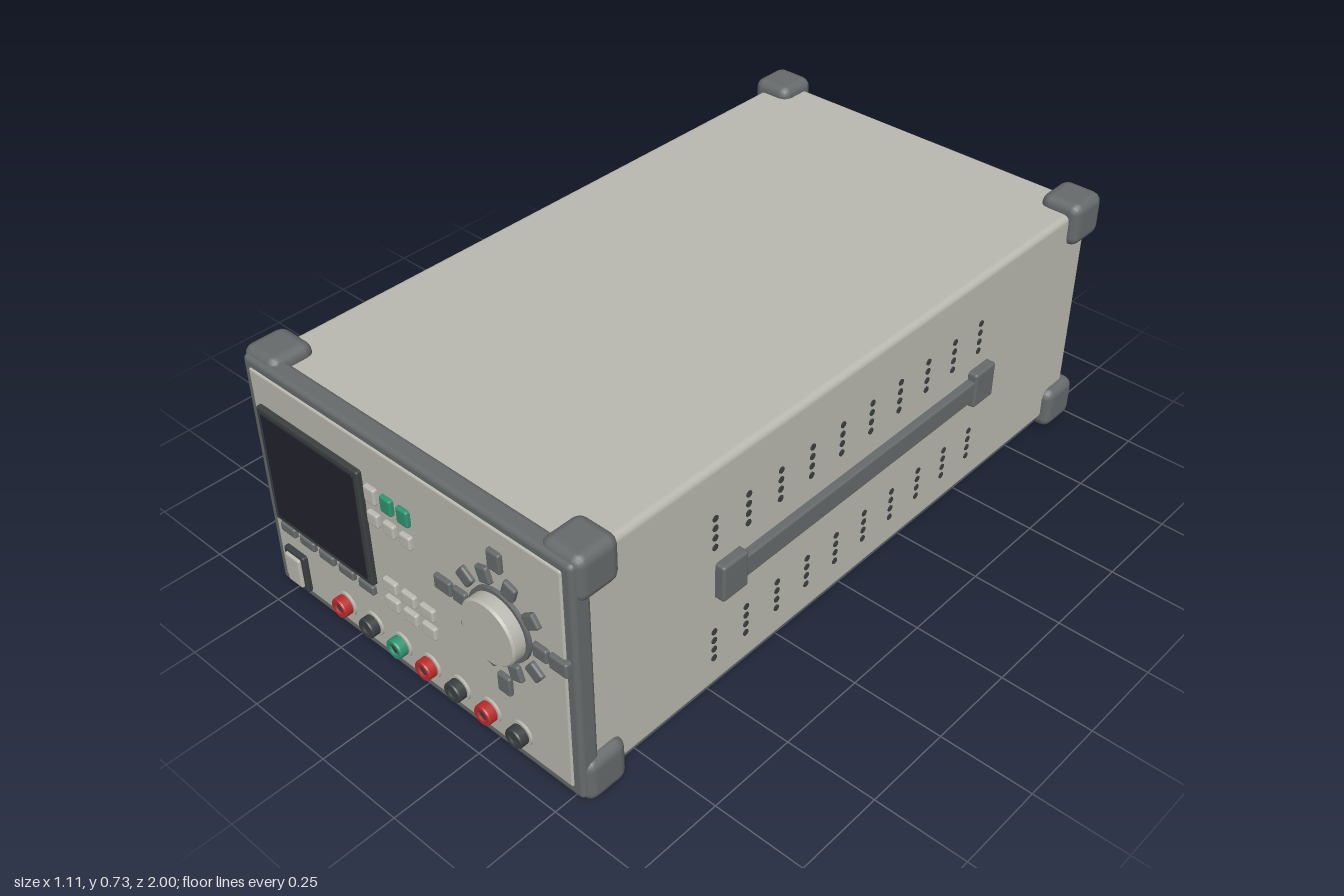
import * as THREE from 'three';
import { RoundedBoxGeometry } from 'three/addons/geometries/RoundedBoxGeometry.js';

const mat = (name, color) => new THREE.MeshStandardMaterial({ name, color });

export function createModel() {
  const M = {
    case: mat('warm grey case', 0xbab9b0),
    grey: mat('dark grey trim', 0x666a6b),
    black: mat('black rubber', 0x3a3f40),
    screen: mat('screen glass', 0x22222c),
    green: mat('green', 0x2f9470),
    red: mat('red', 0xbc2c2c),
  };
  const root = new THREE.Group();
  root.name = 'benchPowerSupply';
  const FACE = 0.955; // front panel surface

  const add = (name, geo, material, x = 0, y = 0, z = 0, parent = root) => {
    const m = new THREE.Mesh(geo, material);
    m.name = name;
    m.position.set(x, y, z);
    parent.add(m);
    return m;
  };
  // Rounded box given by its size, centre and edge radius
  const rbox = (name, material, w, h, d, x, y, z, r = 0.006, parent = root) =>
    add(name, new RoundedBoxGeometry(w, h, d, 2, r), material, x, y, z, parent);
  // Key on the front panel, half sunk so that it stands proud by `out`
  const key = (name, material, x, y, w, h, out = 0.012) =>
    rbox(name, material, w, h, out * 2, x, y, FACE);
  // Lathe turned to face the front
  const turned = (name, material, pts, x, y, z, parent = root) => {
    const g = new THREE.LatheGeometry(pts.map(p => new THREE.Vector2(p[0], p[1])), 32);
    g.rotateX(Math.PI / 2);
    return add(name, g, material, x, y, z, parent);
  };
  // Solid stud with crisp edges
  const stud = (name, material, r, z0, z1, x, y, parent = root) => {
    const g = new THREE.CylinderGeometry(r, r, z1 - z0, 32);
    g.rotateX(Math.PI / 2);
    return add(name, g, material, x, y, (z0 + z1) / 2, parent);
  };

  // Case, front bezel and panel
  rbox('case', M.case, 1.056, 0.665, 1.885, 0, 0.3675, -0.0325, 0.018);
  rbox('frontBezel', M.grey, 1.08, 0.696, 0.055, 0, 0.368, 0.9225, 0.014);
  rbox('frontPanel', M.case, 1.026, 0.642, 0.03, 0, 0.371, FACE - 0.015);

  // Corner bumpers and feet
  for (const x of [-1, 1]) {
    for (const z of [0.88, -0.938]) {
      for (const y of [0.068, 0.669]) {
        rbox('cornerBumper', M.grey, 0.122, 0.126, 0.124, x * 0.493, y, z, 0.028);
      }
    }
    for (const z of [0.6, -0.648]) {
      rbox('foot', M.black, 0.11, 0.05, 0.125, x * 0.357, 0.025, z, 0.01);
    }
  }

  // Side handles and vent holes
  const ventGeo = new THREE.CylinderGeometry(0.009, 0.009, 0.006, 10);
  ventGeo.rotateZ(Math.PI / 2);
  for (const s of [-1, 1]) {
    const side = new THREE.Group();
    side.name = s > 0 ? 'leftSide' : 'rightSide';
    root.add(side);
    rbox('handleBar', M.grey, 0.03, 0.062, 0.98, s * 0.535, 0.366, -0.024, 0.006, side);
    for (const z of [0.463, -0.511]) {
      rbox('handleMount', M.grey, 0.05, 0.105, 0.086, s * 0.53, 0.367, z, 0.008, side);
    }
    for (let col = 0; col < 10; col++) {
      for (const base of [0.128, 0.471]) {
        for (let row = 0; row < 4; row++) {
          add('ventHole', ventGeo, M.black, s * 0.5275, base + row * 0.028, 0.508 - col * 0.112, side);
        }
      }
    }
  }

  // Display with its soft keys
  key('screenFrame', M.black, -0.305, 0.431, 0.368, 0.342, 0.014);
  rbox('screen', M.screen, 0.338, 0.312, 0.008, -0.305, 0.431, FACE + 0.012, 0.003);
  for (let i = 0; i < 5; i++) key('softKey', M.grey, -0.453 + i * 0.0743, 0.237, 0.056, 0.028);

  // Output, mode and memory keys
  for (let i = 0; i < 3; i++) {
    key('outputKey', i ? M.green : M.case, -0.09 + i * 0.0555, 0.554, 0.038, 0.046);
    key('modeKey', M.case, -0.09 + i * 0.0555, 0.484, 0.038, 0.038);
    for (const y of [0.297, 0.241]) key('memoryKey', M.case, -0.061 + i * 0.0645, y, 0.047, 0.037);
  }

  // Power switch
  key('switchFrame', M.black, -0.443, 0.116, 0.078, 0.114, 0.014);
  key('powerRocker', M.case, -0.443, 0.118, 0.056, 0.09, 0.022);

  // Dial with its ring of number keys and arrow keys
  const kx = 0.319, ky = 0.427;
  stud('dialCollar', M.grey, 0.095, 0.95, 0.965, kx, ky);
  turned('dial', M.case, [[0.085, 0], [0.085, 0.032], [0.085, 0.032], [0.081, 0.038], [0.081, 0.038], [0, 0.038]],
    kx, ky, 0.962);
  for (let i = 0; i < 10; i++) {
    const a = i * Math.PI / 5;
    key('numberKey', M.grey, kx + Math.cos(a) * 0.126, ky + Math.sin(a) * 0.126, 0.044, 0.039).rotation.z = a;
  }
  for (let i = 0; i < 4; i++) {
    const a = i * Math.PI / 2;
    key('arrowKey', M.grey, kx + Math.cos(a) * 0.181, ky + Math.sin(a) * 0.181, 0.055, 0.041).rotation.z = a;
  }

  // Binding posts: flange, coloured sleeve, dark socket
  [M.red, M.black, M.green, M.red, M.black, M.red, M.black].forEach((m, i) => {
    const post = new THREE.Group();
    post.name = 'bindingPost';
    post.position.set(-0.257 + i * 0.1023, 0.114, 0);
    root.add(post);
    stud('flange', M.case, 0.034, 0.95, 0.961, 0, 0, post);
    turned('sleeve', m, [[0.027, 0], [0.027, 0.022], [0.027, 0.022], [0.025, 0.026], [0.025, 0.026],
      [0.016, 0.026], [0.016, 0.026], [0.016, 0.01]], 0, 0, 0.959, post);
    stud('socket', M.black, 0.0162, 0.955, 0.978, 0, 0, post);
  });

  return root;
}
